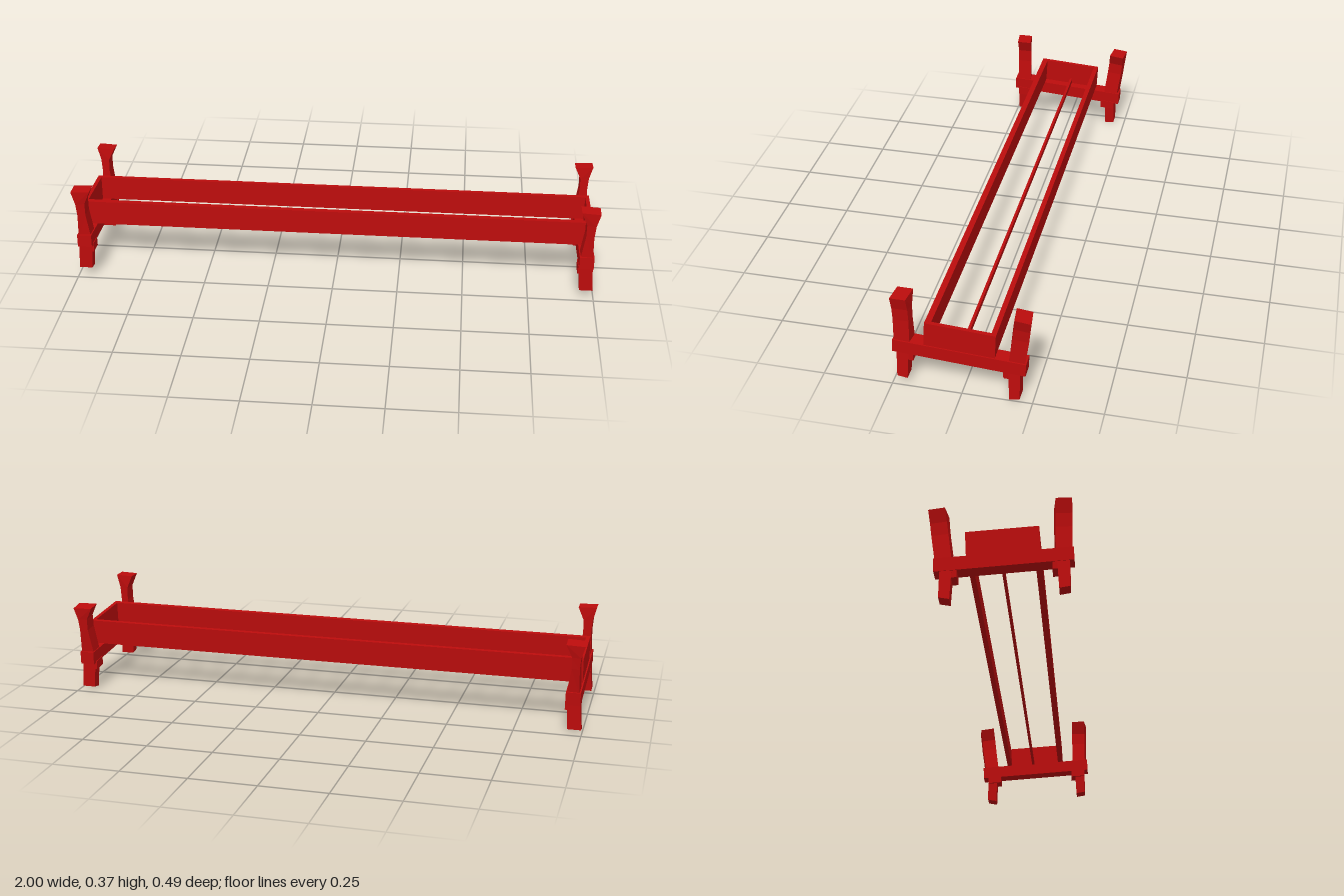
import * as THREE from 'three';

export function createModel() {
  const group = new THREE.Group();
  const red = new THREE.MeshStandardMaterial({ color: 0xbb0c0c, flatShading: true });
  red.name = 'red paint';

  const add = (geometry, name) => {
    const mesh = new THREE.Mesh(geometry, red);
    mesh.name = name;
    group.add(mesh);
  };

  // Side profile of [z, y] points, extruded from x0 to x1
  const prism = (points, x0, x1, name) => {
    const shape = new THREE.Shape(points.map(([z, y]) => new THREE.Vector2(-z, y)));
    const g = new THREE.ExtrudeGeometry(shape, { depth: x1 - x0, bevelEnabled: false });
    g.rotateY(Math.PI / 2);
    g.translate(x0, 0, 0);
    add(g, name);
  };

  // Four-sided loft, bottom to top; each level is
  // [outer x, inner x, far z, far y, near z, near y, inward slant]
  const loft = (levels, side, name) => {
    const rings = levels.map(([xo, xi, za, ya, zb, yb, slant = 0]) => [
      [side * xo, ya, za], [side * xi, ya, za - slant],
      [side * xi, yb, zb - slant], [side * xo, yb, zb],
    ]);
    const flip = side * levels[0][2] > 0;
    const pos = [];
    const tri = (a, b, c) => pos.push(...a, ...(flip ? [...c, ...b] : [...b, ...c]));
    const quad = (a, b, c, d) => { tri(a, b, c); tri(a, c, d); };
    for (let k = 0; k + 1 < rings.length; k++) {
      for (let i = 0; i < 4; i++) {
        const j = (i + 1) % 4;
        quad(rings[k][i], rings[k][j], rings[k + 1][j], rings[k + 1][i]);
      }
    }
    quad(...rings[rings.length - 1]);
    quad(...[...rings[0]].reverse());
    const g = new THREE.BufferGeometry();
    g.setAttribute('position', new THREE.Float32BufferAttribute(pos, 3));
    g.computeVertexNormals();
    add(g, name);
  };

  for (const side of [1, -1]) {
    const across = (points, a, b, name) =>
      prism(points, side > 0 ? a : -b, side > 0 ? b : -a, name);

    // Crossbar, end panel and the blocks above the legs
    across([[0.245, 0.187], [0.247, 0.138], [-0.223, 0.108], [-0.225, 0.158]],
      0.935, 0.99, 'crossbar');
    across([[0.13, 0.274], [0.135, 0.17], [-0.115, 0.155], [-0.12, 0.259]],
      0.97, 0.985, 'endPanel');
    across([[0.231, 0.145], [0.232, 0.109], [0.173, 0.106], [0.174, 0.14]],
      0.932, 0.988, 'frontLegBlock');
    across([[-0.145, 0.12], [-0.145, 0.086], [-0.203, 0.083], [-0.203, 0.115]],
      0.932, 0.988, 'backLegBlock');

    // Tapered legs
    loft([[0.995, 0.945, 0.232, 0.036, 0.195, 0.03],
      [0.988, 0.937, 0.232, 0.14, 0.189, 0.14]], side, 'frontLeg');
    loft([[0.995, 0.945, -0.204, 0.008, -0.167, 0.001],
      [0.988, 0.937, -0.203, 0.12, -0.162, 0.12]], side, 'backLeg');

    // Posts with waisted middles and flared tops
    loft([[0.985, 0.937, 0.241, 0.17, 0.185, 0.17, 0.006],
      [0.982, 0.952, 0.241, 0.27, 0.185, 0.27, 0.006],
      [0.986, 0.952, 0.242, 0.32, 0.186, 0.32, 0.007],
      [1.0, 0.93, 0.243, 0.372, 0.187, 0.372, 0.008]], side, 'frontPost');
    loft([[0.985, 0.937, -0.22, 0.15, -0.163, 0.152, -0.006],
      [0.982, 0.952, -0.234, 0.25, -0.176, 0.256, -0.006],
      [0.986, 0.952, -0.239, 0.295, -0.182, 0.302, -0.007],
      [1.0, 0.93, -0.245, 0.342, -0.188, 0.349, -0.008]], side, 'backPost');
  }

  // Long side boards and the slim centre rail
  prism([[0.13, 0.274], [0.135, 0.18], [0.113, 0.178], [0.108, 0.273]], -0.97, 0.97, 'frontBoard');
  prism([[-0.102, 0.26], [-0.097, 0.166], [-0.115, 0.164], [-0.12, 0.259]], -0.97, 0.97, 'backBoard');
  prism([[0.005, 0.193], [0.006, 0.17], [-0.004, 0.17], [-0.005, 0.193]], -0.97, 0.97, 'centreRail');

  return group;
}
